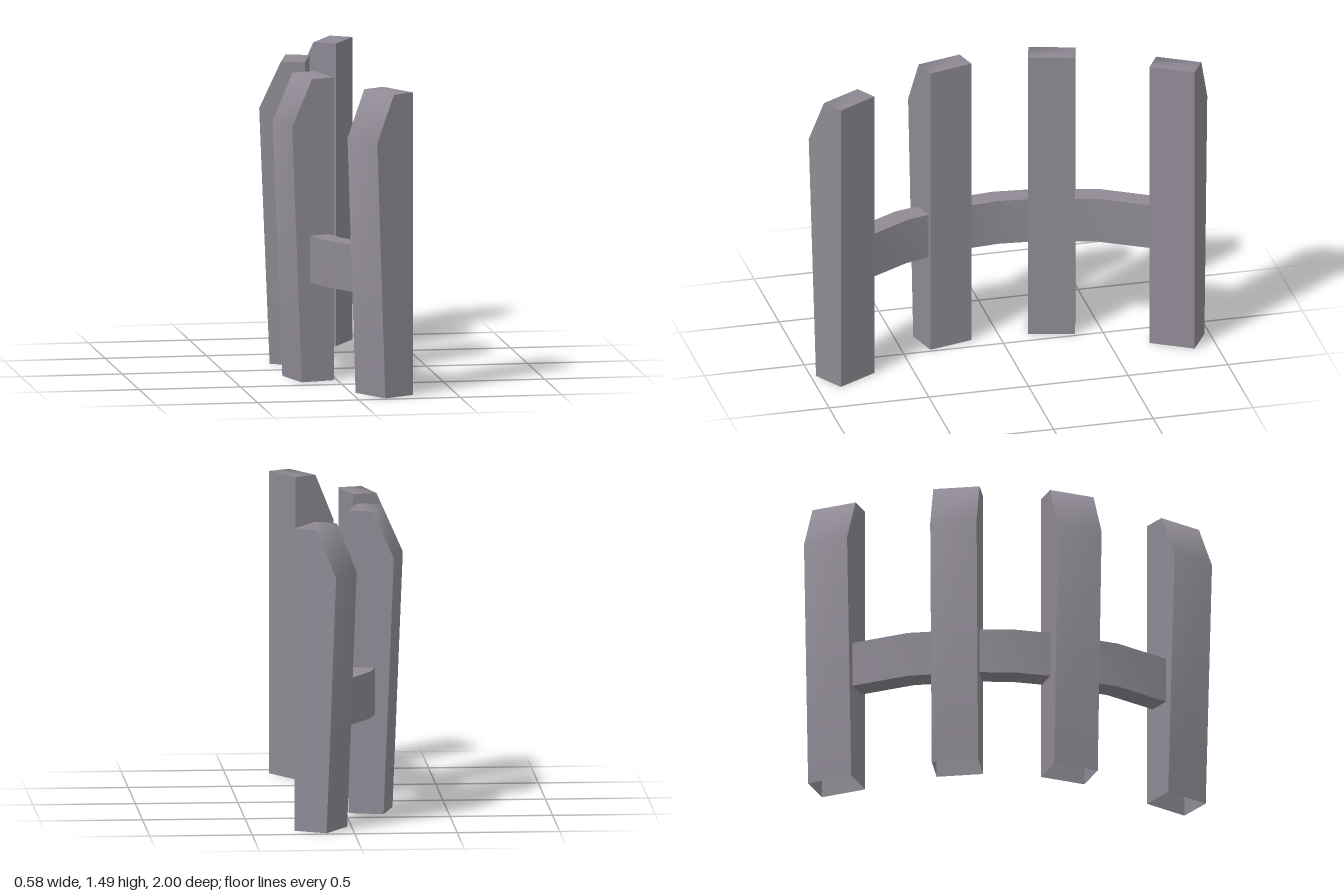
import * as THREE from 'three';
import { toCreasedNormals } from 'three/addons/utils/BufferGeometryUtils.js';

const CREASE = 1.25; // keeps right angles sharp, rounds the sloped heads
const HALF_WIDTH = 0.114;

// Post: flat inner wall, leaning outer wall and sloped head, open underneath
function postGeometry() {
  const profile = [[0, 0], [0, 1.49], [-0.118, 1.49], [-0.224, 1.26], [-0.173, 0]];
  const n = profile.length;
  const positions = [];
  for (const z of [HALF_WIDTH, -HALF_WIDTH]) {
    for (const [x, y] of profile) positions.push(x, y, z);
  }
  const index = [];
  for (let i = 0; i < n - 1; i++) {
    index.push(i, i + n, i + n + 1, i, i + n + 1, i + 1);
  }
  for (let i = 1; i < n - 1; i++) {
    index.push(0, i, i + 1, n, n + i + 1, n + i);
  }
  const geometry = new THREE.BufferGeometry();
  geometry.setAttribute('position', new THREE.Float32BufferAttribute(positions, 3));
  geometry.setIndex(index);
  return toCreasedNormals(geometry, CREASE);
}

// Rail: a bent strip in plan, extruded upward
function railGeometry() {
  const outer = [[-0.21, 0], [-0.19, 0.2], [-0.11, 0.515], [0.065, 0.818]];
  const inner = [[-0.1, 0], [-0.083, 0.18], [-0.005, 0.475], [0.16, 0.763]];
  const mirrored = (side) => [
    ...side.slice(1).reverse().map(([x, z]) => [x, -z]),
    ...side,
  ];
  const outline = [...mirrored(outer), ...mirrored(inner).reverse()];
  const shape = new THREE.Shape(outline.map(([x, z]) => new THREE.Vector2(x, z)));
  const geometry = new THREE.ExtrudeGeometry(shape, { depth: 0.23, bevelEnabled: false });
  geometry.rotateX(-Math.PI / 2);
  geometry.translate(0, 0.49, 0);
  return toCreasedNormals(geometry, CREASE);
}

export function createModel() {
  const model = new THREE.Group();
  model.name = 'curvedFence';
  const grey = new THREE.MeshStandardMaterial({ color: 0x8f8a94, side: THREE.DoubleSide });
  grey.name = 'mauve grey';

  // Two posts on each side of the arc, turned to face its middle
  const post = postGeometry();
  const places = [
    { name: 'innerPost', x: -0.0445, z: 0.252, turn: 15 },
    { name: 'outerPost', x: 0.228, z: 0.789, turn: 30 },
  ];
  for (const side of [1, -1]) {
    for (const { name, x, z, turn } of places) {
      const mesh = new THREE.Mesh(post, grey);
      mesh.name = name + (side > 0 ? 'Front' : 'Back');
      mesh.position.set(x, 0, z * side);
      mesh.rotation.y = THREE.MathUtils.degToRad(turn * side);
      model.add(mesh);
    }
  }

  const rail = new THREE.Mesh(railGeometry(), grey);
  rail.name = 'rail';
  model.add(rail);
  return model;
}
